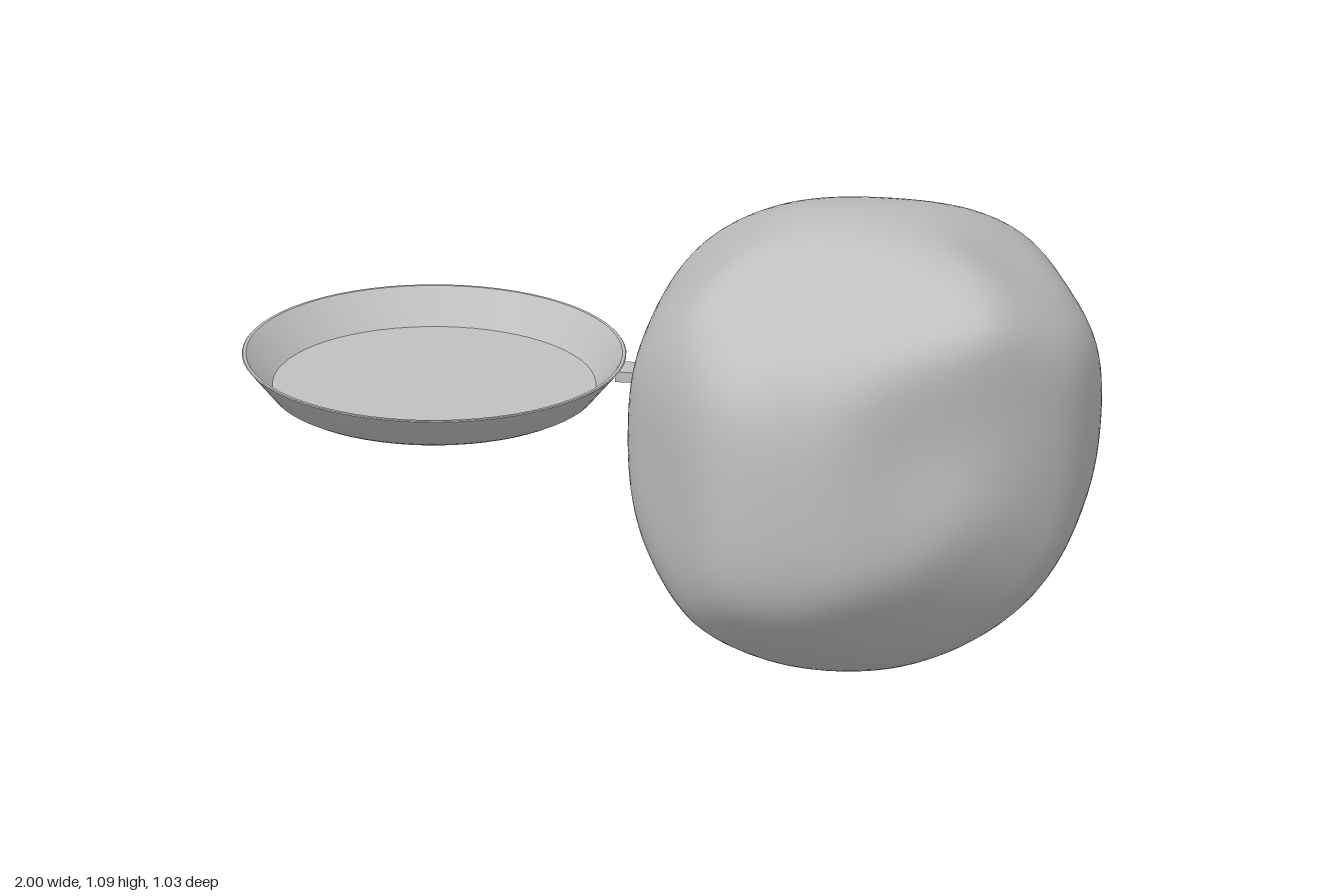
import * as THREE from 'three';
import { mergeVertices, toCreasedNormals } from 'three/addons/utils/BufferGeometryUtils.js';

// Boulder girths: azimuth and elevation of the facing direction, then ten radii counter-clockwise
const girths = [
  { azimuth: 0, elevation: 0, radii: [.535, .61, .575, .565, .56, .555, .56, .56, .525, .513] },
  { azimuth: 90, elevation: 0, radii: [.495, .597, .55, .557, .557, .512, .535, .548, .535, .542] },
  { azimuth: 0, elevation: 90, radii: [.55, .538, .535, .484, .543, .545, .555, .543, .468, .518] },
  { azimuth: 35, elevation: 25, radii: [.535, .615, .58, .567, .575, .535, .57, .54, .516, .505] },
  { azimuth: 215, elevation: 25, radii: [.525, .59, .557, .62, .585, .538, .577, .51, .54, .567] },
  { azimuth: 140, elevation: -30, radii: [.515, .585, .62, .568, .608, .5, .474, .52, .565, .49] },
];

// Directions of the shallow hollows
const hollows = [[.52, .3, .74], [-.04, 0, -.54], [.3, .5, -.05]]
  .map(v => new THREE.Vector3(...v).normalize());

// Returns a function giving how much of a girth's radius a unit direction uses up
function makeLimit({ azimuth, elevation, radii }) {
  const a = THREE.MathUtils.degToRad(azimuth), e = THREE.MathUtils.degToRad(elevation);
  const right = new THREE.Vector3(Math.cos(a), 0, -Math.sin(a));
  const up = new THREE.Vector3(-Math.sin(a) * Math.sin(e), Math.cos(e), -Math.cos(a) * Math.sin(e));
  const n = radii.length;
  const ring = new THREE.CatmullRomCurve3(radii.map(r => new THREE.Vector3(r, 0, 0)), true, 'catmullrom', .5);
  return d => {
    const u = d.dot(right), v = d.dot(up);
    const turn = (Math.atan2(v, u) / (2 * Math.PI) + 1) % 1;
    return Math.hypot(u, v) / ring.getPoint(turn).x;
  };
}

// Sphere pushed out to the smooth minimum of all girths, with soft hollows
function boulderGeometry() {
  const limits = girths.map(makeLimit);
  const sphere = new THREE.IcosahedronGeometry(1, 20);
  sphere.deleteAttribute('uv');
  sphere.deleteAttribute('normal');
  const geometry = mergeVertices(sphere, 1e-4);
  const pos = geometry.attributes.position, d = new THREE.Vector3();
  for (let i = 0; i < pos.count; i++) {
    d.fromBufferAttribute(pos, i).normalize();
    let r = 1.02 * limits.reduce((sum, limit) => sum + limit(d) ** 28, 0) ** (-1 / 28);
    for (const hollow of hollows) r -= .025 * Math.exp((d.dot(hollow) - 1) * 16);
    pos.setXYZ(i, d.x * r, d.y * r, d.z * r);
  }
  geometry.computeVertexNormals();
  return geometry;
}

export function createModel() {
  const model = new THREE.Group();
  const grey = new THREE.MeshStandardMaterial({ color: 0xc0c0c0 });
  grey.name = 'grey';
  const add = (name, geometry, parent, x, y, z) => {
    const mesh = new THREE.Mesh(geometry, grey);
    mesh.name = name;
    mesh.position.set(x, y, z);
    parent.add(mesh);
  };

  add('boulder', boulderGeometry(), model, .45, .54, 0);

  // Shallow round pan with a sloping wall
  const pan = new THREE.Group();
  pan.name = 'pan';
  pan.position.set(-.557, .6, -.015);
  model.add(pan);
  const profile = [[0, 0], [.362, 0], [.377, .008], [.443, .088], [.441, .09], [.434, .09], [.373, .012], [0, .012]]
    .map(([x, y]) => new THREE.Vector2(x, y));
  add('dish', toCreasedNormals(new THREE.LatheGeometry(profile, 64), .5), pan, 0, 0, 0);

  // Short grip running from the rim into the boulder
  add('handle', new THREE.BoxGeometry(.2, .025, .07), pan, .527, .069, 0);
  return model;
}
